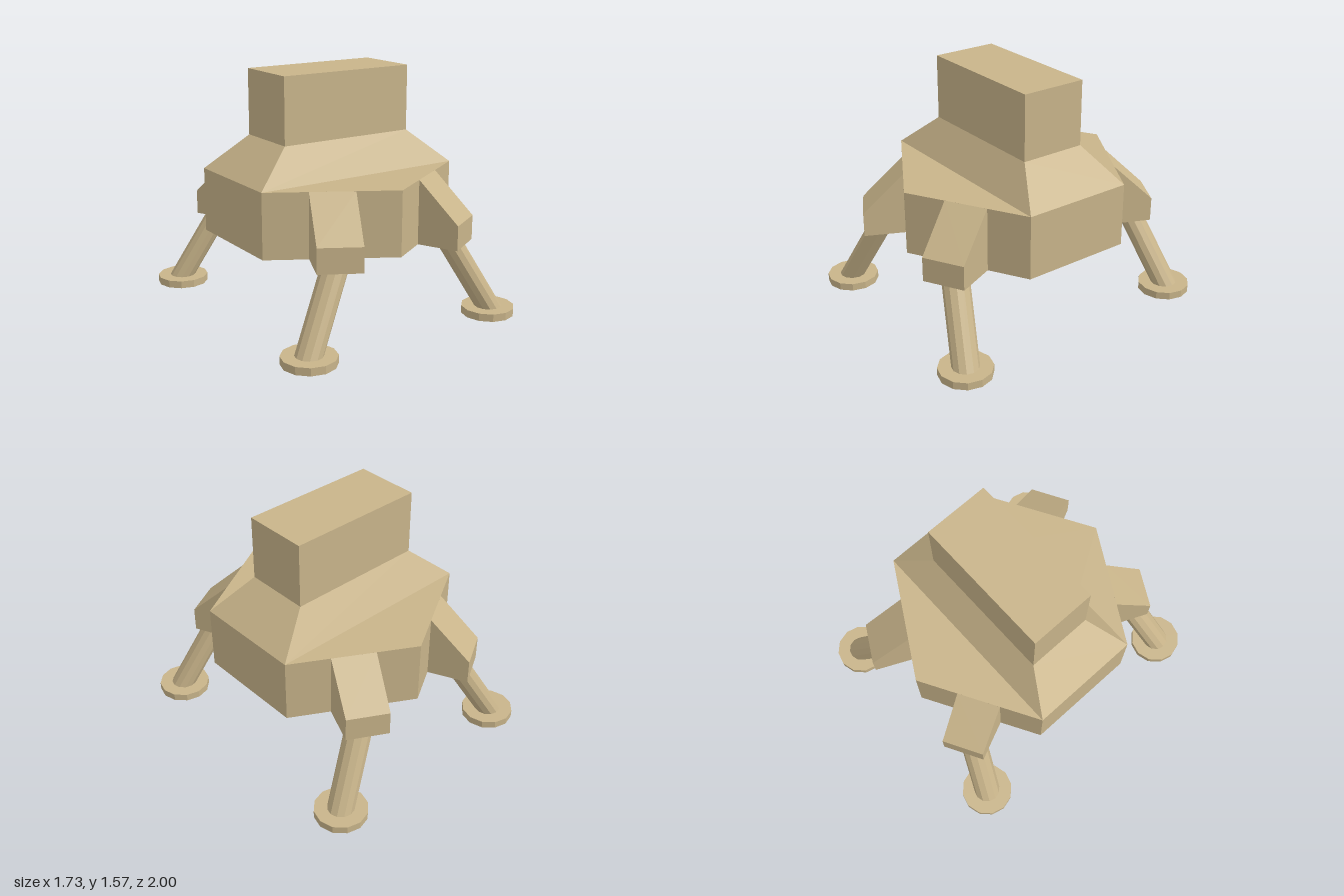
import * as THREE from 'three';
import { ConvexGeometry } from 'three/addons/geometries/ConvexGeometry.js';

const material = new THREE.MeshStandardMaterial({ color: 0xc8b48a, flatShading: true });

function addPart(parent, name, geometry) {
  const mesh = new THREE.Mesh(geometry, material);
  mesh.name = name;
  parent.add(mesh);
  return mesh;
}

// Flat-faced solid around a few corners
const solid = (corners) => new ConvexGeometry(corners.map((c) => new THREE.Vector3(...c)));

// Four corners of a rectangle centred on the y axis
const rectangle = (x, y, z) => [[-x, y, -z], [x, y, -z], [x, y, z], [-x, y, z]];

export function createModel() {
  const model = new THREE.Group();
  model.name = 'lander';

  const bottom = 0.5, deck = 0.92, shoulder = 1.14, roof = 1.57;

  // Hexagonal hull
  const hexagon = (y) => [...rectangle(0.727, y, 0.37), [0, y, 0.79], [0, y, -0.79]];
  addPart(model, 'hull', solid([...hexagon(bottom), ...hexagon(deck)]));

  // Sloped shoulder and upper cabin
  addPart(model, 'shoulder', solid([...rectangle(0.727, deck, 0.37), ...rectangle(0.47, shoulder, 0.22)]));
  addPart(model, 'cabin', new THREE.BoxGeometry(0.94, roof - shoulder, 0.44))
    .position.y = (roof + shoulder) / 2;

  // Four landing legs, one on each slanted hull side
  for (const sx of [-1, 1]) {
    for (const sz of [-1, 1]) {
      const leg = new THREE.Group();
      leg.name = `${sz > 0 ? 'front' : 'back'}${sx > 0 ? 'Left' : 'Right'}Leg`;
      model.add(leg);

      // Wedge bracket: tall at the hull, low at its outer end
      const inner = [[0.24, 0.651], [0.485, 0.51]];
      const outer = [[0.355, 0.895], [0.595, 0.76]];
      const corners = [];
      for (const [ends, top] of [[inner, deck], [outer, 0.66]]) {
        for (const [x, z] of ends) {
          corners.push([sx * x, bottom, sz * z], [sx * x, top, sz * z]);
        }
      }
      addPart(leg, 'bracket', solid(corners));

      // Strut: upright cylinder sheared outwards so that both ends stay level
      const footTop = 0.05, height = bottom - footTop;
      const strut = new THREE.CylinderGeometry(0.087, 0.087, height, 12);
      strut.translate(0, height / 2, 0);
      strut.applyMatrix4(new THREE.Matrix4().set(
        1, sx * -0.25 / height, 0, sx * 0.693,
        0, 1, 0, footTop,
        0, sz * -0.108 / height, 1, sz * 0.828,
        0, 0, 0, 1
      ));
      addPart(leg, 'strut', strut);

      // Foot pad
      addPart(leg, 'footPad', new THREE.CylinderGeometry(0.172, 0.172, footTop, 12))
        .position.set(sx * 0.693, footTop / 2, sz * 0.828);
    }
  }
  return model;
}
